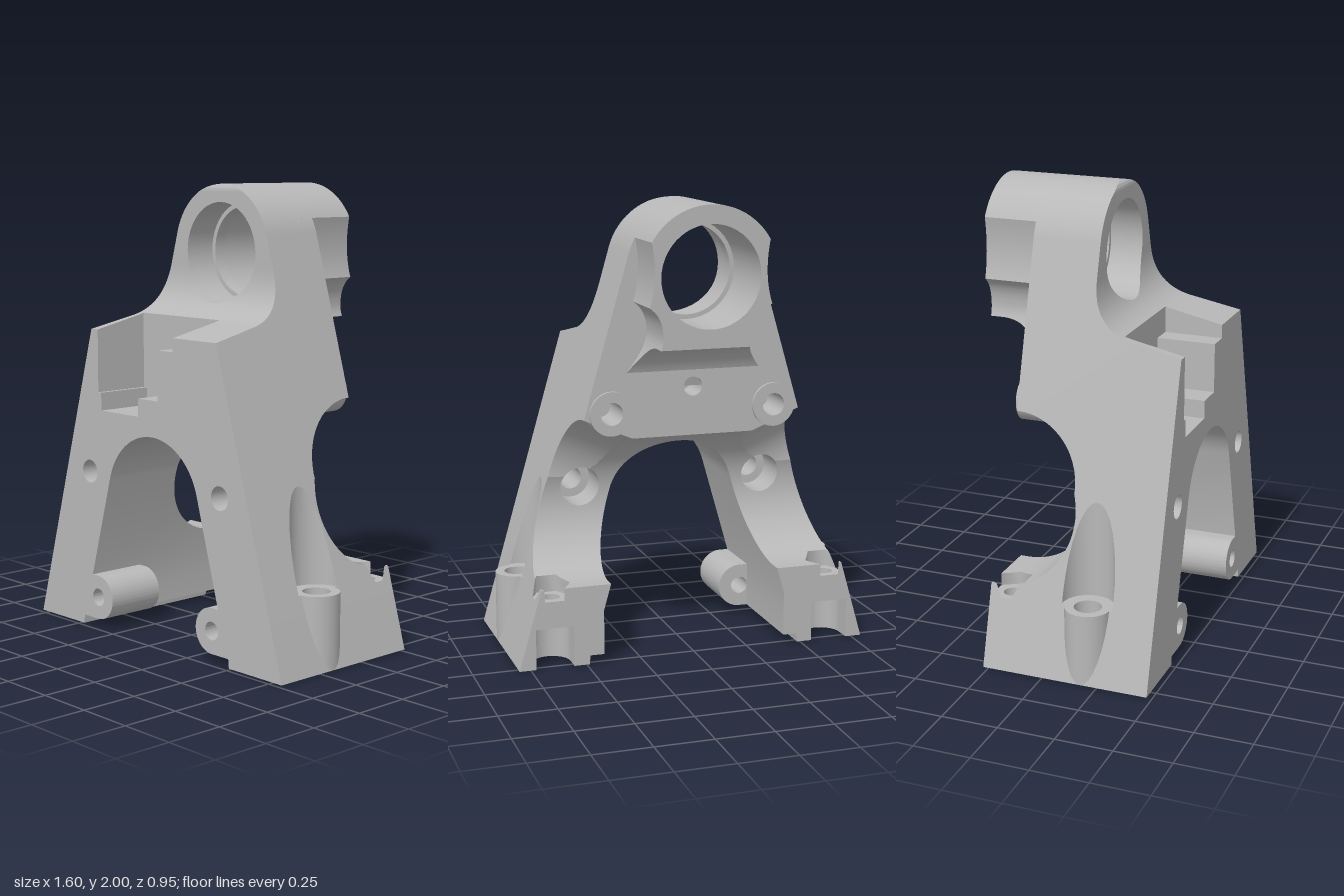
import * as THREE from 'three';
import { toCreasedNormals } from 'three/addons/utils/BufferGeometryUtils.js';

const EPS = 1e-5;

// --- small solid-modelling kit: convex polygons clipped by a plane tree ---
function toPolys(geometry) {
  const g = geometry.index ? geometry.toNonIndexed() : geometry;
  const { position, normal } = g.attributes;
  const polys = [];
  for (let i = 0; i < position.count; i += 3) {
    const v = [0, 1, 2].map(k => ({
      p: new THREE.Vector3().fromBufferAttribute(position, i + k),
      n: new THREE.Vector3().fromBufferAttribute(normal, i + k),
    }));
    const n = v[1].p.clone().sub(v[0].p).cross(v[2].p.clone().sub(v[0].p));
    if (n.length() < 1e-10) continue;
    n.normalize();
    polys.push({ v, plane: { n, w: n.dot(v[0].p) } });
  }
  return polys;
}

function split(poly, { n, w }) {
  const d = poly.v.map(q => n.dot(q.p) - w);
  if (d.every(x => Math.abs(x) < EPS)) return [null, null, poly];
  if (d.every(x => x > -EPS)) return [poly, null];
  if (d.every(x => x < EPS)) return [null, poly];
  const f = [], b = [];
  poly.v.forEach((q, i) => {
    const j = (i + 1) % d.length, r = poly.v[j];
    if (d[i] > -EPS) f.push(q);
    if (d[i] < EPS) b.push(q);
    if ((d[i] >= EPS && d[j] <= -EPS) || (d[i] <= -EPS && d[j] >= EPS)) {
      const t = d[i] / (d[i] - d[j]);
      const m = { p: q.p.clone().lerp(r.p, t), n: q.n.clone().lerp(r.n, t).normalize() };
      f.push(m);
      b.push(m);
    }
  });
  const make = v => (v.length > 2 ? { v, plane: poly.plane } : null);
  return [make(f), make(b)];
}

function tree(polys) {
  if (!polys.length) return null;
  const plane = polys[polys.length >> 1].plane, front = [], back = [];
  for (const poly of polys) {
    const [f, b] = split(poly, plane);
    if (f) front.push(f);
    if (b) back.push(b);
  }
  return { plane, front: tree(front), back: tree(back) };
}

function clip(poly, node, inside) {
  const [f, b, flat] = split(poly, node.plane);
  const fr = f || flat;
  const F = !fr ? [] : node.front ? clip(fr, node.front, inside) : inside ? [] : [fr];
  const B = !b ? [] : node.back ? clip(b, node.back, inside) : inside ? [b] : [];
  if (fr && b && F.length === 1 && F[0] === fr && B.length === 1 && B[0] === b) return [poly];
  return F.concat(B);
}

const flip = ({ v, plane }) => ({
  v: v.map(q => ({ p: q.p, n: q.n.clone().negate() })).reverse(),
  plane: { n: plane.n.clone().negate(), w: -plane.w },
});
const keep = (polys, other, inside) => {
  const t = tree(other);
  return polys.flatMap(p => clip(p, t, inside));
};
const subtract = (a, b) => keep(a, b, false).concat(keep(b, a, true).map(flip));
const intersect = (a, b) => keep(a, b, true).concat(keep(b, a, true));
const cut = (solid, cutters) => cutters.reduce(subtract, solid);

function toGeometry(polys) {
  const pos = [], nor = [];
  for (const { v } of polys)
    for (let i = 2; i < v.length; i++)
      for (const q of [v[0], v[i - 1], v[i]]) {
        pos.push(q.p.x, q.p.y, q.p.z);
        nor.push(q.n.x, q.n.y, q.n.z);
      }
  const g = new THREE.BufferGeometry();
  g.setAttribute('position', new THREE.Float32BufferAttribute(pos, 3));
  g.setAttribute('normal', new THREE.Float32BufferAttribute(nor, 3));
  return g;
}

// --- primitive solids ---
const extrude = (shape, depth) => new THREE.ExtrudeGeometry(shape, { depth, bevelEnabled: false, curveSegments: 24 });
const alongZ = (shape, z0, z1) => toPolys(toCreasedNormals(extrude(shape, z1 - z0).translate(0, 0, z0), 0.5));
const alongX = shape => toPolys(toCreasedNormals(extrude(shape, 2).translate(0, 0, -1).rotateY(-Math.PI / 2), 0.5));
const cylZ = (x, y, r, z0, z1, n = 32) =>
  toPolys(new THREE.CylinderGeometry(r, r, z1 - z0, n).rotateX(Math.PI / 2).translate(x, y, (z0 + z1) / 2));
const cylY = (x, z, r, y0, y1, n = 32) =>
  toPolys(new THREE.CylinderGeometry(r, r, y1 - y0, n).translate(x, (y0 + y1) / 2, z));
const box = (x0, x1, y0, y1, z0, z1) =>
  toPolys(new THREE.BoxGeometry(x1 - x0, y1 - y0, z1 - z0).translate((x0 + x1) / 2, (y0 + y1) / 2, (z0 + z1) / 2));
const polygon = pts => new THREE.Shape(pts.map(p => new THREE.Vector2(...p)));

export function createModel() {
  const group = new THREE.Group();
  const grey = new THREE.MeshStandardMaterial({ color: 0xb8b8b8 });
  grey.name = 'cast grey';
  const add = (name, polys) => {
    const mesh = new THREE.Mesh(toGeometry(polys), grey);
    mesh.name = name;
    group.add(mesh);
  };
  const sides = fn => [1, -1].flatMap(fn);

  // A-frame outline seen from the front
  const PI = Math.PI;
  const frame = new THREE.Shape();
  frame.moveTo(0.8, 0);
  frame.lineTo(0.3 * Math.cos(0.28), 1.7 + 0.3 * Math.sin(0.28));
  frame.absarc(0, 1.7, 0.3, 0.28, PI - 0.28, false);
  [[-0.8, 0], [-0.487, 0], [-0.483, 0.04], [-0.42, 0.04], [-0.42, 0.24]].forEach(p => frame.lineTo(...p));
  frame.absarc(0, 0.62, 0.3, PI - 0.264, 0.264, true);
  [[0.42, 0.24], [0.42, 0.04], [0.483, 0.04], [0.487, 0]].forEach(p => frame.lineTo(...p));

  // Side profile (z, y) with front shoulder and rear scoop
  const profile = new THREE.Shape();
  profile.moveTo(0.475, -0.1);
  profile.lineTo(0.475, 1.36);
  profile.lineTo(0.24, 1.41);
  profile.quadraticCurveTo(0.07, 1.45, 0.07, 1.64);
  profile.lineTo(0.07, 1.965);
  profile.quadraticCurveTo(0.07, 2, 0.035, 2.001);
  profile.lineTo(0.035, 2.1);
  profile.lineTo(-0.235, 2.1);
  profile.lineTo(-0.235, 0.985);
  profile.absarc(-0.235, 0.67, 0.315, PI / 2, -PI / 2, true);
  profile.lineTo(-0.275, 0.355);
  profile.lineTo(-0.275, -0.1);

  // Stepped bearing bore
  const bore = [
    cylZ(0, 1.7, 0.22, -0.08, 0.4, 48),
    cylZ(0, 1.7, 0.2, -0.2, 0, 48),
    cylZ(0, 1.7, 0.22, -0.6, -0.14, 48),
  ];
  // Stepped pocket in the front shoulder
  const pocket = alongZ(polygon([[-0.365, 1.5], [-0.365, 1.08], [-0.345, 1.08], [-0.345, 1], [-0.09, 1],
    [-0.09, 1.08], [0.04, 1.08], [0.04, 1.3], [0.14, 1.3], [0.14, 1.5]]), 0.21, 0.7);
  const mountHole = s => cylY(s * 0.7, 0.173, 0.06, -0.1, 0.5);
  const plateHole = s => cylZ(s * 0.37, 1.1, 0.05, -0.4, -0.05);
  // Upward flare of the scoop towards the outside
  const flare = s => toPolys(new THREE.CylinderGeometry(0.3, 0.3, 0.6, 48)
    .translate(0, -0.3, 0).rotateZ(s * (PI / 2 + 0.4)).translate(s * 0.3, 0.67, -0.235));

  const body = cut(intersect(alongZ(frame, -0.6, 0.6), alongX(profile)), [
    ...bore,
    pocket,
    cylZ(0, 1.2, 0.042, -0.4, -0.08),
    ...sides(s => [
      flare(s),
      cylZ(s * 0.43, 0.715, 0.052, -0.6, 0.6),
      cylZ(s * 0.43, 0.715, 0.09, -0.4, 0.25),
      cylY(s * 0.7, 0.173, 0.115, 0.32, 1.2),
      mountHole(s),
      plateHole(s),
      // rear foot: nut recess, bolt hole and open slot beneath
      toPolys(new THREE.CylinderGeometry(0.087, 0.087, 0.2, 6).rotateY(PI / 6).translate(s * 0.64, 0.4, -0.2)),
      cylY(s * 0.64, -0.2, 0.04, 0.1, 0.5),
      cylY(s * 0.64, -0.2, 0.085, -0.1, 0.18),
      box(s * 0.64 - 0.085, s * 0.64 + 0.085, -0.12, 0.18, -0.4, -0.2),
    ]),
  ]);
  add('frame', body);

  // Bearing barrel with scalloped, waisted sides and a curved underside
  const barrel = new THREE.Shape();
  barrel.moveTo(0.37, 1.2);
  barrel.quadraticCurveTo(0.21, 1.36, 0.21, 1.45);
  barrel.quadraticCurveTo(0.21, 1.54, 0.27, 1.58);
  barrel.quadraticCurveTo(0.23, 1.7, 0.3 * Math.cos(PI / 6), 1.85);
  barrel.absarc(0, 1.7, 0.3, PI / 6, PI * 5 / 6, false);
  barrel.quadraticCurveTo(-0.23, 1.7, -0.27, 1.58);
  barrel.quadraticCurveTo(-0.21, 1.54, -0.21, 1.45);
  barrel.quadraticCurveTo(-0.21, 1.36, -0.37, 1.2);
  const under = new THREE.Shape();
  under.moveTo(-0.1, 2.2);
  under.lineTo(-0.475, 2.2);
  under.lineTo(-0.475, 1.4);
  under.lineTo(-0.42, 1.4);
  under.quadraticCurveTo(-0.28, 1.4, -0.23, 1.26);
  under.lineTo(-0.2, 1.15);
  under.lineTo(-0.1, 1.15);
  add('bearingBarrel', cut(intersect(alongZ(barrel, -0.6, 0), alongX(under)), bore));

  for (const s of [1, -1]) {
    const side = s > 0 ? 'left' : 'right';
    // Raised ring on the rear plate
    add(side + 'PlateBoss', cut(cylZ(s * 0.37, 1.1, 0.097, -0.25, -0.1), [plateHole(s)]));
    // Upright mounting boss on the leg
    add(side + 'MountBoss', cut(cylY(s * 0.7, 0.173, 0.1, 0, 0.32), [mountHole(s)]));
    // Inner hinge lug
    const lug = new THREE.Shape();
    lug.moveTo(s * 0.48, 0.04);
    lug.lineTo(s * 0.38, 0.04);
    lug.absarc(s * 0.38, 0.14, 0.1, -PI / 2, PI / 2, s > 0);
    lug.lineTo(s * 0.48, 0.24);
    lug.holes.push(new THREE.Path().absarc(s * 0.38, 0.14, 0.04, 0, 2 * PI));
    add(side + 'HingeLug', alongZ(lug, 0.2, 0.475));
  }
  return group;
}
